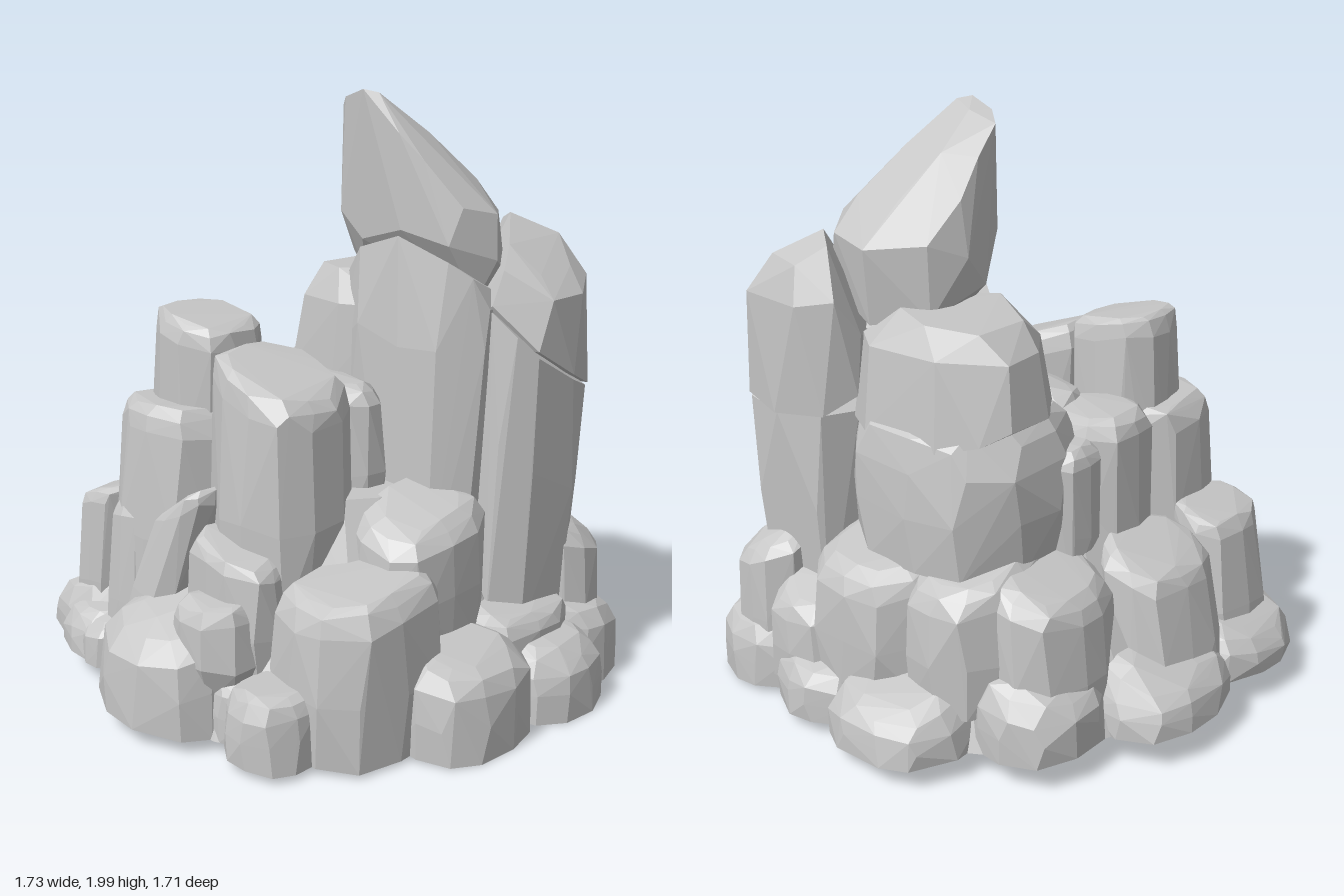
import * as THREE from 'three';
import { ConvexGeometry } from 'three/addons/geometries/ConvexGeometry.js';

// The flat underside slopes gently across x
const ground = (x) => 0.065 - 0.064 * x;

function seeded(seed) {
  let s = seed;
  return () => {
    s = (s * 16807) % 2147483647;
    return s / 2147483647;
  };
}

export function createModel() {
  const group = new THREE.Group();
  const stone = new THREE.MeshStandardMaterial({ color: 0xc6c6c6, flatShading: true });
  stone.name = 'pale stone';
  let count = 0;

  // Faceted stone around a few corner points
  function hull(name, corners) {
    const points = corners.map((p) => new THREE.Vector3(...p));
    const mesh = new THREE.Mesh(new ConvexGeometry(points), stone);
    mesh.name = name;
    group.add(mesh);
  }

  // Boulder filling a box: rings with chipped edges, from oval (square = 2) to boxy.
  // tiltX / tiltZ raise the top towards +x / +z, leanX / leanZ shift the base back,
  // foot and top scale the first and last ring.
  function rock(name, [x0, x1], [y0, y1], [z0, z1], options = {}) {
    const { tiltX = 0, tiltZ = 0, foot = 0.98, top = 0.7, leanX = 0, leanZ = 0, square = 3.2 } = options;
    const rand = seeded(7919 * ++count + 13);
    const cx = (x0 + x1) / 2, cz = (z0 + z1) / 2, hx = (x1 - x0) / 2, hz = (z1 - z0) / 2;
    const low = y0 || ground(cx);
    const h = y1 - low, edge = Math.min(0.45, (0.42 * Math.min(hx, hz)) / h);
    const rings = [[0, foot], [0.4, 1.02], [1 - edge, 0.98], [1 - edge * 0.3, (top + 1.04) / 2], [1, top]];
    const corners = [];
    const turn = rand() * 0.6;
    for (const [t, scale] of rings) {
      for (let i = 0; i < 11; i++) {
        const a = turn + (i / 11) * Math.PI * 2 + (rand() - 0.5) * 0.2;
        const c = Math.cos(a), s = Math.sin(a);
        const r = scale * (0.97 + rand() * 0.06) / Math.pow(Math.abs(c) ** square + Math.abs(s) ** square, 1 / square);
        const x = cx + hx * r * c + leanX * (t - 1);
        const z = cz + hz * r * s + leanZ * (t - 1);
        const y = low + h * t + (tiltX * c + tiltZ * s) * r * t * t - (t > 0 ? rand() * 0.02 : 0);
        const onGround = !y0 && t === 0;
        corners.push([x, onGround ? ground(x) : Math.max(y, ground(x)), z]);
      }
    }
    hull(name, corners);
  }

  // Hidden core closes gaps and the underside
  const core = [];
  for (const [y, r] of [[0, 0.74], [0.18, 0.67], [0.45, 0.52], [0.7, 0.38]]) {
    for (let i = 0; i < 20; i++) {
      const a = (i / 20) * Math.PI * 2;
      const x = Math.cos(a) * r;
      core.push([x, y + ground(x), Math.sin(a) * r]);
    }
  }
  hull('core', core);

  // Slanted summit block, broad and rounded at the back
  hull('summit', [
    [-0.03, 1.94, -0.1], [0.03, 1.97, -0.05], [0.13, 2.0, -0.03], [0.17, 1.99, -0.06], [0.08, 1.97, -0.1],
    [-0.04, 1.85, -0.19], [0.27, 1.87, -0.05], [0.35, 1.79, -0.08], [0.24, 1.86, -0.22], [0.06, 1.86, -0.25],
    [-0.04, 1.73, -0.27], [0.47, 1.65, -0.13], [0.49, 1.62, -0.27], [0.32, 1.71, -0.36], [0.13, 1.72, -0.37],
    [0.34, 1.6, -0.45], [0.17, 1.58, -0.49], [0.0, 1.6, -0.38], [0.52, 1.48, -0.24], [0.44, 1.4, -0.38],
    [0.18, 1.33, -0.46], [0.0, 1.36, -0.37], [-0.06, 1.55, -0.26], [-0.06, 1.45, -0.18], [-0.01, 1.6, -0.07],
    [0.02, 1.38, -0.16], [0.45, 1.34, -0.22], [0.1, 1.52, -0.06], [0.28, 1.57, -0.05], [0.44, 1.53, -0.1],
  ]);

  // Tall pillars
  hull('mainColumn', [
    [-0.03, 1.38, -0.12], [0.08, 1.49, -0.07], [0.27, 1.55, -0.05], [0.44, 1.48, -0.1], [0.5, 1.43, -0.15],
    [0.53, 1.33, -0.2], [0.48, 1.3, -0.42], [0.05, 1.3, -0.42], [-0.03, 1.2, -0.25], [-0.03, 1.15, -0.08],
    [0.12, 1.25, -0.02], [0.3, 1.2, -0.02], [0.43, 1.2, -0.06], [0.53, 1.2, -0.18], [0.0, 0.4, -0.04],
    [0.3, 0.4, -0.0], [0.43, 0.4, -0.03], [0.5, 0.4, -0.13], [0.45, 0.4, -0.46], [0.05, 0.4, -0.44],
  ]);
  hull('sideColumnCap', [
    [0.4, 1.6, -0.44], [0.5, 1.52, -0.32], [0.54, 1.45, -0.25], [0.32, 1.57, -0.5], [0.5, 1.53, -0.57],
    [0.36, 1.52, -0.6], [0.6, 1.43, -0.36], [0.59, 1.44, -0.52], [0.67, 1.36, -0.34], [0.66, 1.36, -0.5],
    [0.58, 1.4, -0.62], [0.33, 1.4, -0.64], [0.22, 1.42, -0.57], [0.2, 1.3, -0.48], [0.66, 1.2, -0.29],
    [0.53, 1.34, -0.21], [0.67, 1.1, -0.46], [0.62, 1.04, -0.6], [0.45, 1.02, -0.64], [0.26, 1.04, -0.6],
    [0.2, 1.1, -0.5], [0.3, 1.2, -0.25],
  ]);
  hull('sideColumn', [
    [0.53, 1.32, -0.21], [0.62, 1.25, -0.23], [0.66, 1.18, -0.29], [0.66, 1.08, -0.47], [0.61, 1.03, -0.6],
    [0.45, 1.02, -0.63], [0.27, 1.04, -0.6], [0.22, 1.04, -0.48], [0.4, 1.25, -0.22], [0.58, 0.9, -0.2],
    [0.65, 0.8, -0.29], [0.65, 0.7, -0.5], [0.58, 0.7, -0.61], [0.3, 0.7, -0.61], [0.56, 0.25, -0.18],
    [0.63, 0.25, -0.28], [0.63, 0.25, -0.48], [0.55, 0.25, -0.58], [0.3, 0.25, -0.58], [0.26, 0.25, -0.4],
  ]);

  // Stacked blocks at the back
  hull('backStackTop', [
    [-0.25, 1.38, -0.42], [-0.25, 1.38, -0.22], [-0.05, 1.4, -0.1], [0.08, 1.4, -0.2], [0.08, 1.4, -0.42],
    [-0.08, 1.39, -0.48], [-0.35, 1.3, -0.4], [-0.33, 1.3, -0.24], [-0.2, 1.29, -0.08], [0.03, 1.3, -0.02],
    [0.2, 1.3, -0.1], [0.22, 1.3, -0.45], [0.1, 1.3, -0.54], [-0.18, 1.31, -0.54], [-0.38, 1.1, -0.42],
    [-0.38, 1.1, -0.25], [-0.24, 1.05, -0.06], [0.02, 1.05, 0.0], [0.22, 1.05, -0.1], [0.22, 1.03, -0.5],
    [0.1, 1.03, -0.57], [-0.2, 1.03, -0.57], [-0.32, 1.06, -0.5],
  ]);
  rock('backStackMiddle', [-0.41, 0.28], [0.62, 1.1], [-0.61, 0.02], { top: 0.8, square: 2.8 });
  rock('backStackLowerLeft', [-0.44, -0.06], [0.2, 0.67], [-0.67, -0.2], { tiltZ: 0.06, square: 2.6 });
  rock('backStackLowerRight', [-0.16, 0.3], [0.2, 0.66], [-0.73, -0.3], { tiltZ: 0.06 });

  // Front blocks
  rock('frontLeftTower', [-0.39, -0.06], [0.6, 1.29], [0.17, 0.48], { tiltX: -0.03, leanX: 0.03, top: 0.8 });
  rock('frontTower', [-0.08, 0.33], [0.4, 1.16], [0.12, 0.51], { tiltX: -0.08, leanZ: -0.02, top: 0.78 });
  rock('frontLeftBlock', [-0.48, -0.05], [0.3, 1.01], [0.19, 0.58], { leanX: 0.03, leanZ: -0.03, top: 0.8 });
  rock('middleLedge', [-0.25, 0.28], [0.6, 1.08], [-0.06, 0.16]);
  rock('leftLedge', [-0.48, -0.15], [0.4, 1.04], [-0.08, 0.24]);
  rock('leftNotchRock', [-0.45, -0.22], [0.5, 0.98], [-0.24, -0.01]);

  // Shoulder rocks
  rock('leftFrontShoulder', [-0.67, -0.43], [0.1, 0.66], [0.26, 0.59], { tiltX: 0.04, leanX: 0.07, top: 0.78 });
  rock('frontLeftShoulder', [-0.46, -0.24], [0.1, 0.67], [0.38, 0.61], { leanX: 0.02, leanZ: -0.03 });
  rock('leftShoulder', [-0.71, -0.4], [0.1, 0.63], [-0.13, 0.28], { tiltX: 0.06, leanX: 0.08 });
  rock('leftBackShoulder', [-0.61, -0.26], [0.1, 0.64], [-0.54, -0.09], { tiltX: 0.07, leanX: 0.03, square: 2.6 });
  rock('leaningSliver', [-0.18, 0.04], [0.2, 0.74], [0.4, 0.62], { tiltX: 0.06, leanX: 0.16, leanZ: -0.06 });
  rock('frontShelf', [-0.04, 0.31], [0.2, 0.64], [0.38, 0.63], { tiltX: -0.04 });
  rock('frontWedge', [0.0, 0.29], [0.16, 0.49], [0.42, 0.73], { tiltX: 0.01, foot: 0.7 });
  rock('rightFrontBlock', [0.26, 0.68], [0, 0.57], [0.06, 0.57], { tiltZ: -0.03, top: 0.74 });
  rock('rightShelf', [0.28, 0.62], [0.3, 0.74], [-0.19, 0.25], { tiltX: -0.05, tiltZ: -0.05, top: 0.62 });
  rock('rightLowShelf', [0.46, 0.72], [0.1, 0.36], [-0.5, -0.06], { tiltX: -0.03 });
  rock('rightBackShoulder', [0.4, 0.68], [0.1, 0.57], [-0.71, -0.45], { tiltZ: 0.05, tiltX: -0.05, top: 0.5, square: 2.5 });
  rock('backShoulder', [0.14, 0.48], [0.1, 0.47], [-0.74, -0.42], { tiltZ: 0.06 });

  // Ring of low rounded boulders around the foot
  const low = { foot: 1.03, top: 0.62, square: 2.5 };
  rock('footFront', [-0.3, 0.21], [0, 0.43], [0.4, 0.85], { ...low, tiltZ: -0.08, top: 0.42 });
  rock('footFrontRight', [0.25, 0.53], [0, 0.27], [0.45, 0.74], low);
  rock('footFrontCenter', [0.08, 0.36], [0, 0.26], [0.42, 0.69], low);
  rock('footRight', [0.5, 0.85], [0, 0.33], [-0.18, 0.29], { ...low, tiltX: -0.05 });
  rock('footRightBack', [0.5, 0.86], [0, 0.27], [-0.53, -0.13], { ...low, tiltX: -0.04 });
  rock('footBackRight', [0.37, 0.75], [0, 0.3], [-0.75, -0.38], { ...low, tiltZ: 0.03 });
  rock('footBack', [0.03, 0.41], [0, 0.27], [-0.8, -0.44], { ...low, tiltZ: 0.04 });
  rock('footBackLeft', [-0.37, 0.1], [0, 0.29], [-0.85, -0.44], { ...low, tiltZ: 0.06, square: 3 });
  rock('footLeftBack', [-0.67, -0.27], [0, 0.35], [-0.61, -0.18], { ...low, tiltX: 0.04 });
  rock('footLeft', [-0.86, -0.46], [0, 0.33], [-0.28, 0.23], { ...low, tiltX: 0.08 });
  rock('footLeftFront', [-0.83, -0.42], [0, 0.32], [0.17, 0.64], { ...low, tiltX: 0.07 });
  rock('footFrontLeft', [-0.68, -0.34], [0, 0.27], [0.36, 0.7], { ...low, tiltZ: -0.03 });
  rock('footFrontLeftChip', [-0.52, -0.32], [0, 0.27], [0.44, 0.71], { ...low, tiltZ: -0.05 });

  return group;
}
